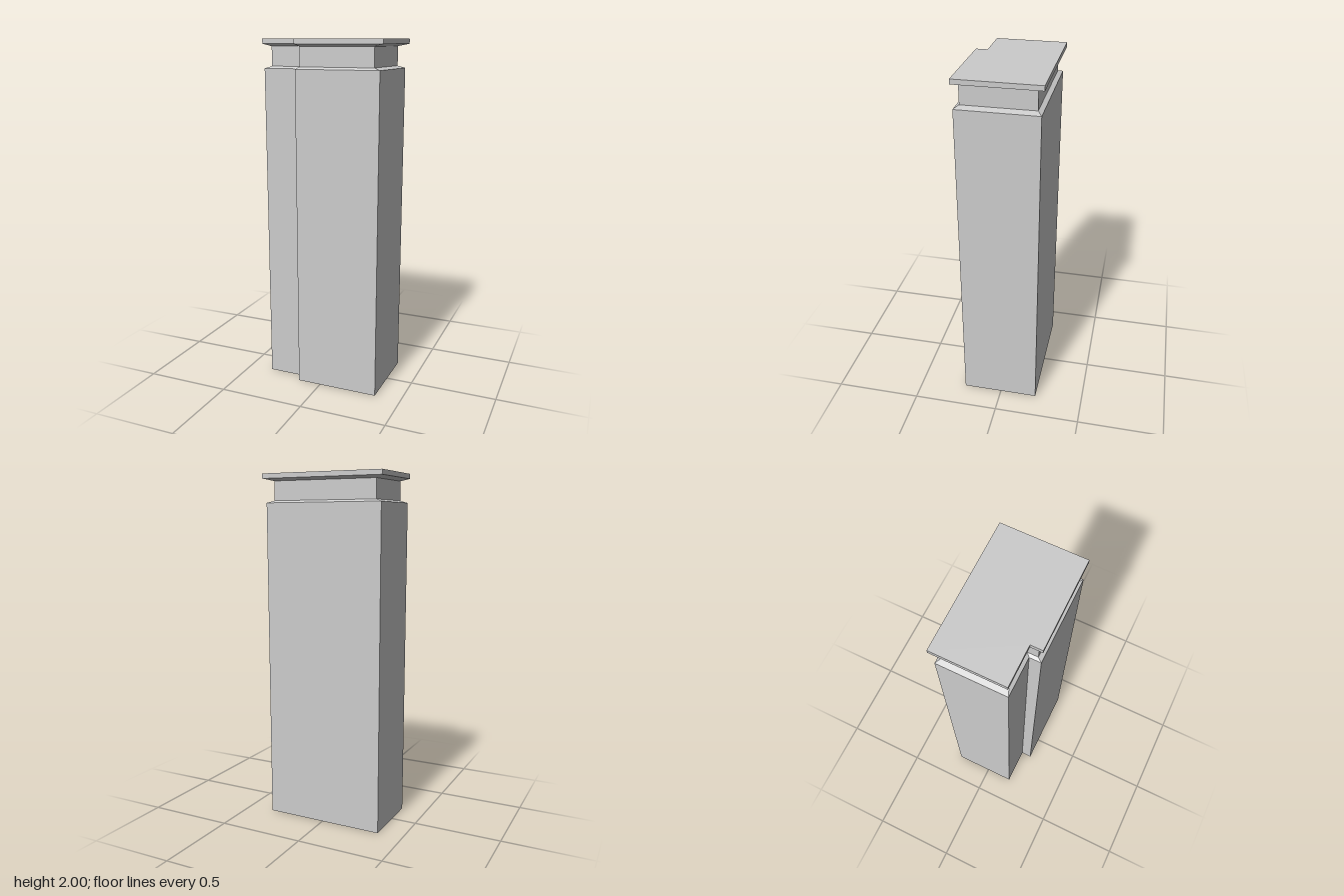
import * as THREE from 'three';

// One level of the notched plan: [x left, x notch, x right, z back, z notch, z front], y
const ring = ([x0, xs, x1, zb, zs, zf], y) => [
  [x0, zb], [x0, zs], [xs, zs], [xs, zf], [x1, zf], [x1, zb],
].map(([x, z]) => [x, y, z]);

// Joins successive levels with flat walls; optionally closes the top
function loft(name, levels, closeTop = false) {
  const pos = [];
  const tri = (a, b, c) => pos.push(...a, ...b, ...c);
  for (let k = 0; k < levels.length - 1; k++) {
    const lo = levels[k], up = levels[k + 1];
    for (let i = 0; i < lo.length; i++) {
      const j = (i + 1) % lo.length;
      tri(lo[i], lo[j], up[j]);
      tri(lo[i], up[j], up[i]);
    }
  }
  if (closeTop) {
    // Fan from the inner notch corner
    const t = levels[levels.length - 1], n = t.length;
    for (let i = 1; i < n - 1; i++) tri(t[2], t[(2 + i) % n], t[(3 + i) % n]);
  }
  const geo = new THREE.BufferGeometry();
  geo.setAttribute('position', new THREE.Float32BufferAttribute(pos, 3));
  geo.computeVertexNormals();
  const mat = new THREE.MeshStandardMaterial({
    color: 0xcccccc, flatShading: true, side: THREE.DoubleSide,
  });
  const mesh = new THREE.Mesh(geo, mat);
  mesh.name = name;
  return mesh;
}

export function createModel() {
  const group = new THREE.Group();
  group.name = 'notchedTower';

  const bodyPlan = [-0.354, -0.137, 0.346, -0.217, 0.164, 0.227];
  const neckPlan = [-0.316, -0.121, 0.308, -0.193, 0.147, 0.204];
  const capPlan = [-0.364, -0.141, 0.364, -0.232, 0.166, 0.231];

  group.add(
    // Tall shaft, open underneath
    loft('shaft', [ring(bodyPlan, 0), ring(bodyPlan, 1.84)]),
    // Sloped shoulder up to the recessed neck
    loft('shoulder', [ring(bodyPlan, 1.84), ring(neckPlan, 1.852)]),
    loft('neck', [ring(neckPlan, 1.852), ring(neckPlan, 1.96)]),
    // Overhanging roof slab with sloped soffit
    loft('roofSlab', [ring(neckPlan, 1.96), ring(capPlan, 1.973), ring(capPlan, 2)], true),
  );
  return group;
}
